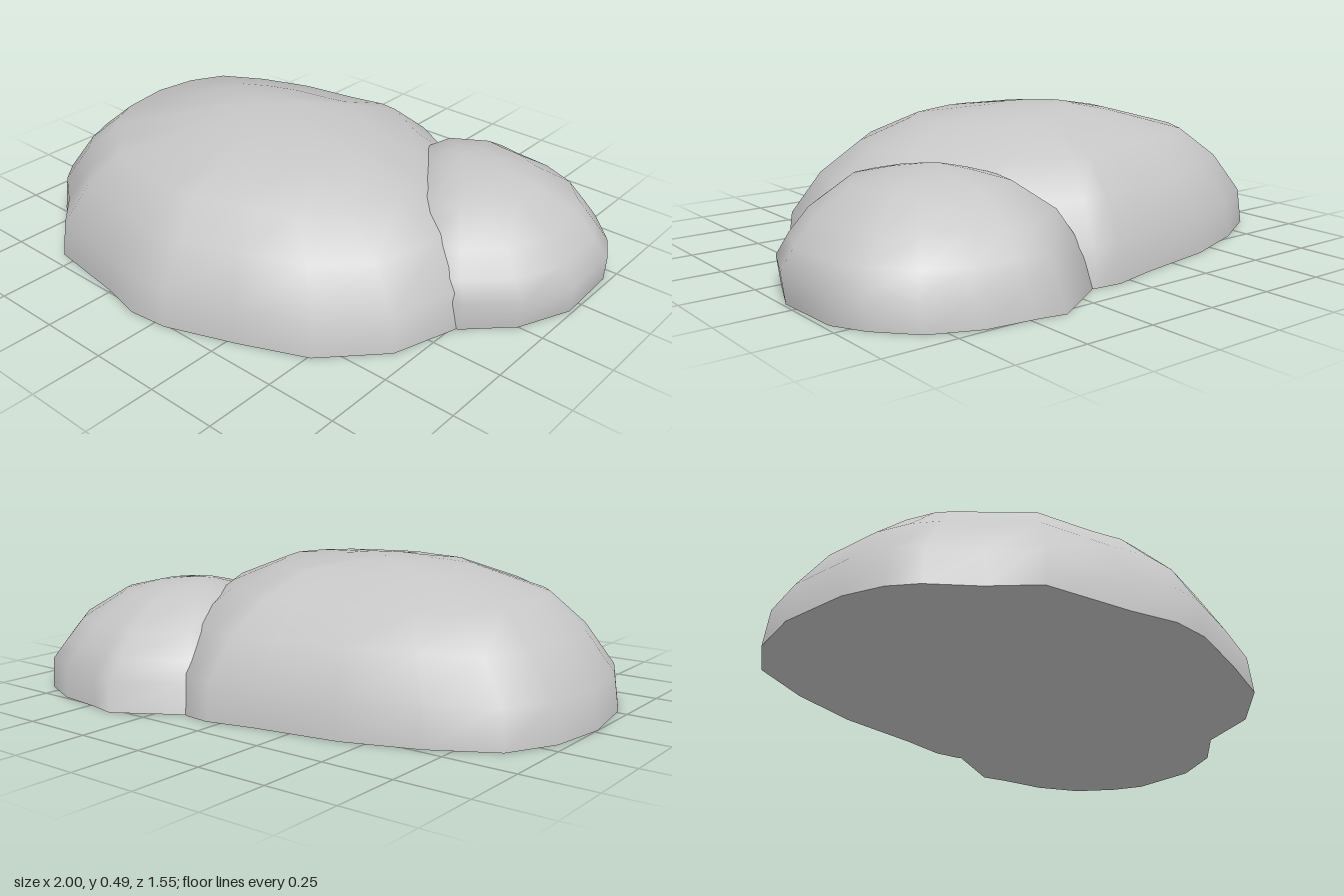
import * as THREE from 'three';

const stone = new THREE.MeshStandardMaterial({ color: 0xc6c6c6 });
stone.name = 'grey stone';

// Flat-bottomed boulder: a plan outline [x, z] shrunk towards its centre
// through rings of [scale, height, shift in x, shift in z], closed by an apex.
function boulder(name, outline, [cx, cz], rings, apex) {
  const n = outline.length;
  const pos = [], index = [];
  for (const [s, y, dx, dz] of rings) {
    for (const [x, z] of outline) pos.push(cx + dx + (x - cx) * s, y, cz + dz + (z - cz) * s);
  }
  pos.push(...apex);
  const tip = rings.length * n;
  for (let r = 0; r < rings.length; r++) {
    for (let j = 0; j < n; j++) {
      const a = r * n + j, b = r * n + (j + 1) % n;
      if (r === rings.length - 1) index.push(b, a, tip);
      else index.push(b, a, a + n, b, a + n, b + n);
    }
  }
  const dome = new THREE.BufferGeometry();
  dome.setAttribute('position', new THREE.Float32BufferAttribute(pos, 3));
  dome.setIndex(index);
  dome.computeVertexNormals();

  // Flat underside with its own hard edge
  const shape = new THREE.Shape(outline.map(([x, z]) => new THREE.Vector2(x, z)));
  const base = new THREE.ShapeGeometry(shape).rotateX(Math.PI / 2);

  const group = new THREE.Group();
  group.name = name;
  const top = new THREE.Mesh(dome, stone);
  top.name = name + 'Dome';
  const bottom = new THREE.Mesh(base, stone);
  bottom.name = name + 'Underside';
  group.add(top, bottom);
  return group;
}

export function createModel() {
  const model = new THREE.Group();
  model.name = 'boulders';

  model.add(boulder('largeBoulder', [
    [-1, 0.02], [-0.97, -0.19], [-0.88, -0.36], [-0.67, -0.48], [-0.42, -0.57],
    [-0.12, -0.62], [0.05, -0.66], [0.15, -0.65], [0.4, -0.5], [0.58, -0.3],
    [0.7, -0.1], [0.77, 0.12], [0.69, 0.38], [0.51, 0.57], [0.28, 0.67],
    [0.04, 0.76], [-0.1, 0.775], [-0.26, 0.74], [-0.56, 0.7], [-0.69, 0.58],
    [-0.83, 0.48], [-0.9, 0.4], [-0.96, 0.27],
  ], [-0.12, 0.05], [
    [1, 0, 0, 0], [0.98, 0.13, 0, 0], [0.86, 0.27, 0, 0], [0.7, 0.375, -0.01, 0.01],
    [0.43, 0.452, 0.03, 0.03], [0.18, 0.48, -0.04, 0],
  ], [-0.17, 0.487, 0.03]));

  model.add(boulder('smallBoulder', [
    [0.15, -0.64], [0.38, -0.78], [0.48, -0.76], [0.65, -0.74], [0.81, -0.67],
    [0.92, -0.55], [0.98, -0.44], [0.99, -0.19], [0.91, 0], [0.77, 0.14],
    [0.6, 0.18], [0.4, 0.08], [0.2, -0.15], [0.1, -0.4],
  ], [0.5, -0.28], [
    [1, 0, 0, 0], [0.98, 0.1, 0.02, 0.01], [0.91, 0.17, 0.005, 0.02],
    [0.79, 0.25, 0, 0.02], [0.53, 0.335, 0, 0.04], [0.28, 0.365, 0, 0.03],
  ], [0.48, 0.385, -0.25]));

  return model;
}
